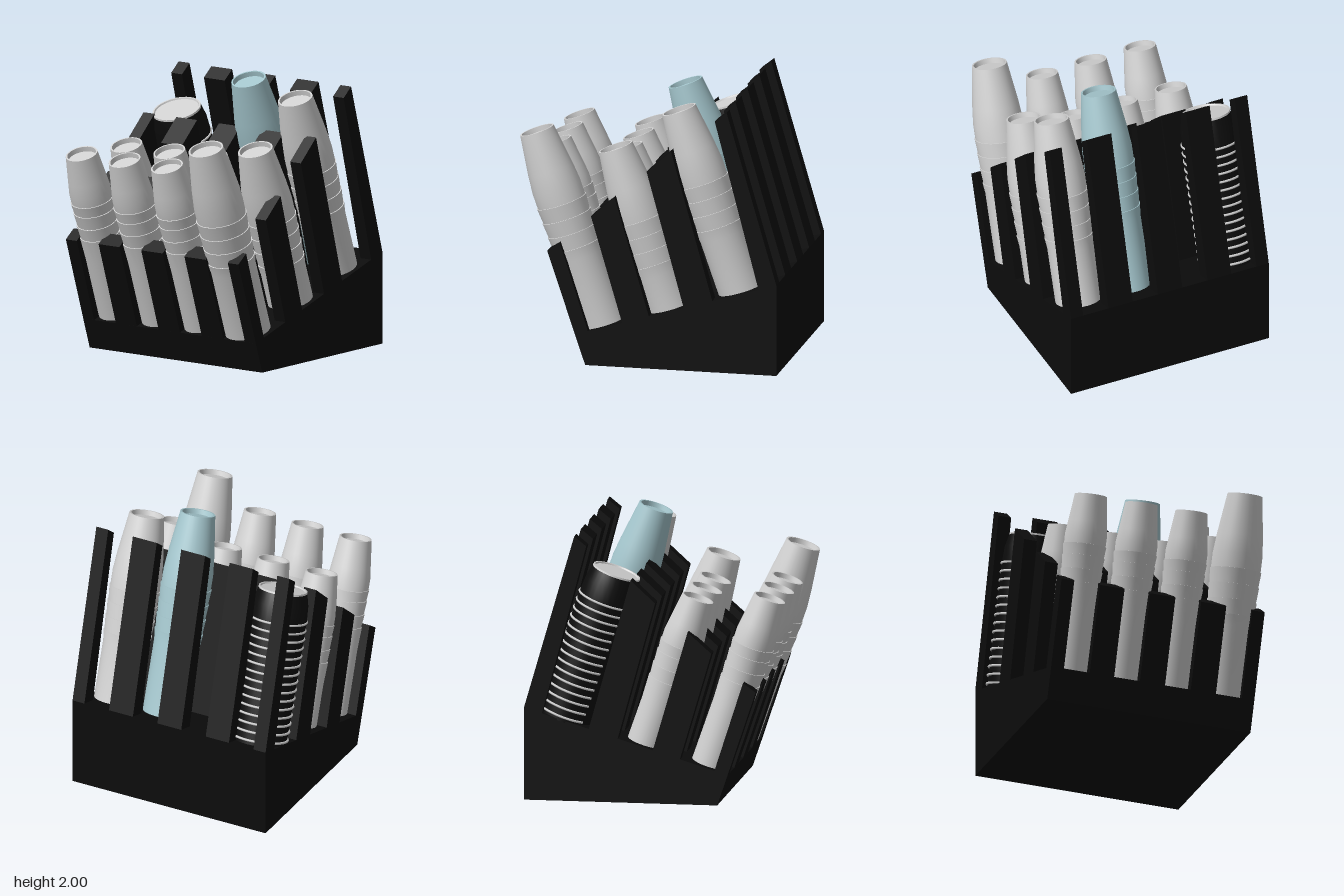
import * as THREE from 'three';
import { toCreasedNormals } from 'three/addons/utils/BufferGeometryUtils.js';

const LEAN = THREE.MathUtils.degToRad(19.3); // all inserts lean towards the front
const COLUMNS = [-0.565, -0.18, 0.2, 0.587];
const floorY = (z) => 0.22 + (0.51 - z) * 0.303;

export function createModel() {
  const model = new THREE.Group();
  const black = new THREE.MeshStandardMaterial({ name: 'black', color: 0x0c0c0c });
  const grey = new THREE.MeshStandardMaterial({ name: 'lightGrey', color: 0xd0d0d0 });
  const blue = new THREE.MeshStandardMaterial({ name: 'paleBlue', color: 0xa4c6cd });

  // Side outline given as [z, y], extruded across x
  function slab(name, outline, x0, x1) {
    const shape = new THREE.Shape(outline.map(([z, y]) => new THREE.Vector2(z, y)));
    const geo = new THREE.ExtrudeGeometry(shape, { depth: x1 - x0, bevelEnabled: false });
    geo.rotateY(-Math.PI / 2).translate(x1, 0, 0);
    const mesh = new THREE.Mesh(geo, black);
    mesh.name = name;
    model.add(mesh);
  }

  // Holder base with sloping floor
  slab('holderBase', [[-0.95, 0], [0.435, 0], [0.51, 0.22], [-0.95, 0.663]], -0.76, 0.785);

  // Rows of leaning posts between the inserts, taller towards the back
  const postSides = [
    [[0.40, 0.2], [0.503, 0.2], [0.71, 0.82], [0.62, 0.886]],
    [[-0.05, 0.3], [0.155, 0.28], [0.393, 1.09], [0.223, 1.24]],
    [[-0.52, 0.4], [-0.30, 0.38], [-0.01, 1.44], [-0.186, 1.6]],
    [[-0.95, 0.6], [-0.84, 0.55], [-0.504, 1.836], [-0.59, 1.905], [-0.95, 0.663]],
  ];
  const postSpans = [[-0.76, -0.663], [-0.467, -0.281], [-0.085, 0.106], [0.302, 0.493], [0.69, 0.785]];
  postSides.forEach((side) => postSpans.forEach(([a, b]) => slab('post', side, a, b)));

  // Group whose origin is the top of an insert; also returns the length down to the floor
  function leaning(name, x, y, z) {
    const group = new THREE.Group();
    group.name = name;
    group.position.set(x, y, z);
    group.rotation.x = LEAN;
    model.add(group);
    const slope = Math.tan(LEAN);
    const drop = (y - floorY(z - 1.2 * slope)) ;
    let d = drop;
    for (let i = 0; i < 6; i++) d = y - floorY(z - d * slope);
    return { group, length: d / Math.cos(LEAN) + 0.012 };
  }

  function lathe(points, crease = 0.45) {
    const geo = new THREE.LatheGeometry(points.map(([r, y]) => new THREE.Vector2(r, y)), 32);
    return toCreasedNormals(geo, crease);
  }

  // Tapered sleeve: plain shank, stepped collars, ogive nose, recessed end
  function sleeve(x, y, z, big, material) {
    const { group, length } = leaning('sleeve', x, y, z);
    const R = big ? 0.183 : 0.154;
    const rTop = big ? 0.125 : 0.115;
    const steps = big ? [0.54, 0.65, 0.76, 0.87] : [0.36, 0.44, 0.54, 0.635];
    const shank = big ? 0.95 : 0.81;
    const points = [[0, -length], [R * 0.9, -length], [R * 0.9, -shank]];
    for (let i = 3; i >= 0; i--) {
      const r = R * (1 - i * 0.016);
      points.push([r, -steps[i]], [r - 0.006, -steps[i] + 0.001]);
    }
    points.push([R * 0.97, -steps[0] * 0.8], [R * 0.9, -steps[0] * 0.55]);
    points.push([rTop, 0], [rTop * 0.9, 0], [rTop * 0.87, -0.035], [0, -0.035]);
    const mesh = new THREE.Mesh(lathe(points), material);
    mesh.name = 'sleeveBody';
    group.add(mesh);
  }

  // Front row
  [0, 1, 2].forEach((i) => sleeve(COLUMNS[i], 1.47, 0.78, false, grey));
  sleeve(COLUMNS[3], 1.647, 0.83, true, grey);
  // Middle row
  [0, 1, 2].forEach((i) => sleeve(COLUMNS[i], 1.455, 0.265, false, grey));
  sleeve(COLUMNS[3], 1.557, 0.26, true, grey);
  // Back row, with one empty place
  sleeve(COLUMNS[2], 1.955, -0.16, true, blue);
  sleeve(COLUMNS[3], 1.857, -0.2, true, grey);

  // Black ribbed grip with a pale end cap
  const { group: grip, length } = leaning('ribbedGrip', COLUMNS[0], 1.63, -0.315);
  const gripBody = new THREE.Mesh(lathe([
    [0, -length], [0.198, -length], [0.203, -0.22], [0.196, -0.1], [0.175, -0.012], [0, -0.012],
  ]), black);
  gripBody.name = 'gripBody';
  const cap = new THREE.Mesh(lathe([
    [0.176, -0.013], [0.174, 0], [0.163, 0], [0.158, -0.01], [0, -0.01],
  ]), grey);
  cap.name = 'gripCap';
  grip.add(gripBody, cap);
  // Thin ribs around the sides and back
  const ribGeo = new THREE.TorusGeometry(0.203, 0.009, 6, 36, Math.PI * 1.5);
  ribGeo.rotateZ(Math.PI * 0.75).rotateX(Math.PI / 2);
  for (let t = 0.22; t < length - 0.03; t += 0.062) {
    const rib = new THREE.Mesh(ribGeo, grey);
    rib.name = 'gripRib';
    rib.position.y = -t;
    grip.add(rib);
  }
  return model;
}
